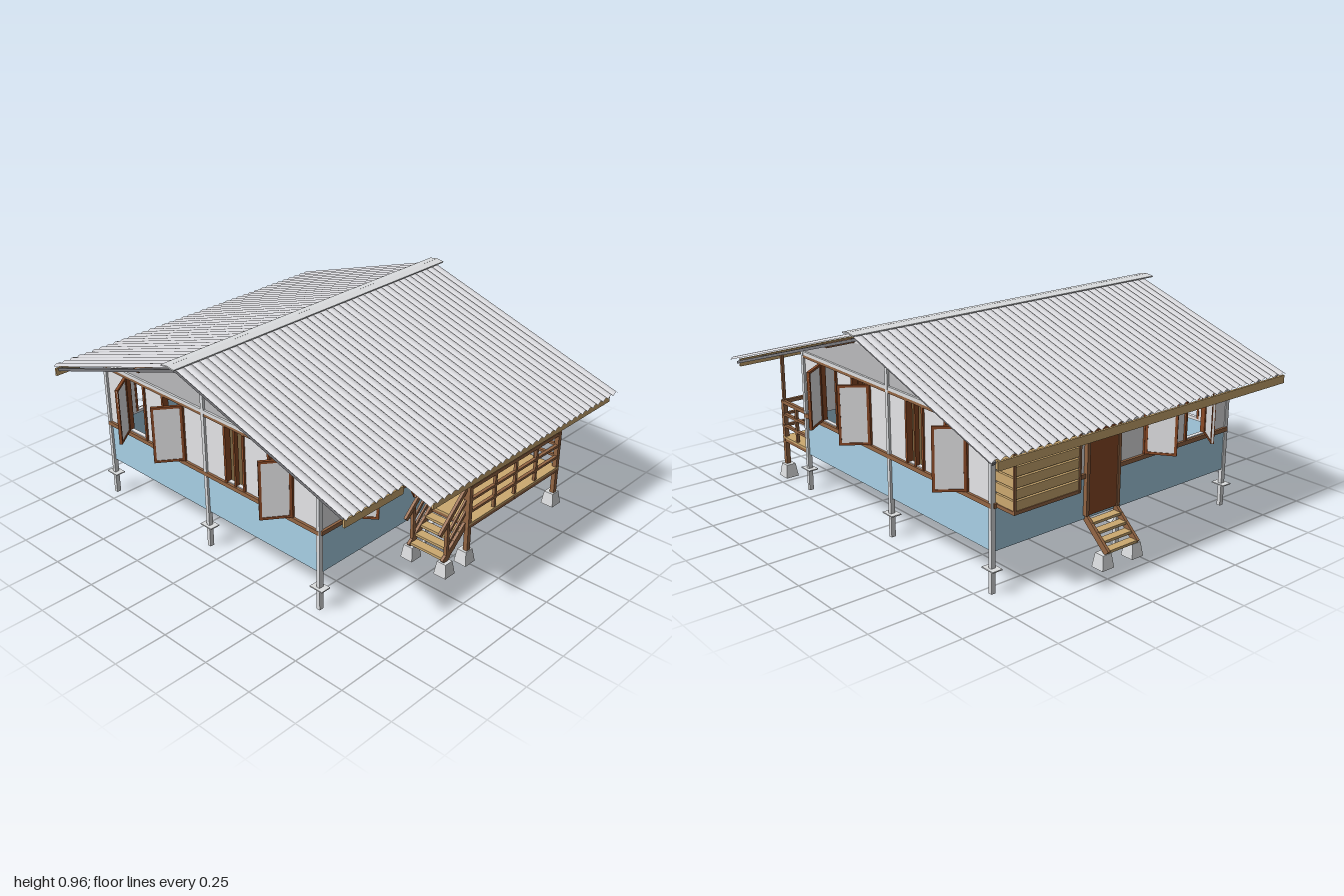
import * as THREE from 'three';

const paint = (name, color, side = THREE.FrontSide) => {
  const m = new THREE.MeshStandardMaterial({ color, side });
  m.name = name;
  return m;
};

export function createModel() {
  const wall = paint('off white boards', 0xe6e6e8), blue = paint('light blue boards', 0xa8d0e6);
  const brown = paint('brown timber', 0x946644), doorRed = paint('red brown joinery', 0x8b4a26);
  const tan = paint('tan timber', 0xcca970), roofing = paint('roof sheet grey', 0xd2d2d6, THREE.DoubleSide);
  const shade = paint('dark rafter grey', 0x78787c);
  const grey = paint('gable grey', 0xbababc), pale = paint('pale steel and concrete', 0xdcdee0);

  const house = new THREE.Group();
  house.name = 'house';
  const CX = -0.105, HX = 0.695, HZ = 0.69, SLOPE = 0.32;
  const roofY = (x) => 0.95 - SLOPE * Math.abs(x - CX);

  const add = (parent, name, geometry, material) => {
    const m = new THREE.Mesh(geometry, material);
    m.name = name;
    parent.add(m);
    return m;
  };
  // box given by its low and high corners
  const box = (parent, name, mat, x0, x1, y0, y1, z0, z1) => {
    const m = add(parent, name, new THREE.BoxGeometry(x1 - x0, y1 - y0, z1 - z0), mat);
    m.position.set((x0 + x1) / 2, (y0 + y1) / 2, (z0 + z1) / 2);
    return m;
  };
  // square bar between two points
  const bar = (name, mat, a, b, w, h = w) => {
    const p = new THREE.Vector3(...a), q = new THREE.Vector3(...b);
    const m = add(house, name, new THREE.BoxGeometry(w, h, p.distanceTo(q)), mat);
    m.position.copy(p).add(q).multiplyScalar(0.5);
    m.lookAt(q);
  };
  const footing = (x, z) => {
    const g = new THREE.CylinderGeometry(0.034, 0.047, 0.065, 4).rotateY(Math.PI / 4).toNonIndexed();
    g.computeVertexNormals();
    add(house, 'footing', g, pale).position.set(x, 0.0325, z);
  };

  // roof sheet from the ridge to xe: rounded ribs of 7 rows that meet in sharp valleys
  const roofSheet = (xe, z0, z1) => {
    const waves = Math.round((z1 - z0) / 0.0425), n = waves * 7 - 1, pitch = (z1 - z0) / waves;
    const g = new THREE.PlaneGeometry(1, 1, 1, n), p = g.attributes.position;
    for (let i = 0; i < p.count; i++) {
      const row = Math.floor(i / 2), t = xe > CX ? row : n - row, u = (t % 7) / 6;
      const x = i % 2 ? xe : CX;
      p.setXYZ(i, x, roofY(x) - 0.006 + 0.012 * Math.sin(u * Math.PI), z0 + pitch * (Math.floor(t / 7) + u));
    }
    g.computeVertexNormals();
    add(house, 'roofSheet', g, roofing);
  };
  roofSheet(-1, -0.86, 0.84);
  roofSheet(1, -0.86, 0.5);
  roofSheet(0.87, 0.5, 0.84);
  for (const s of [-1, 1]) {
    const cap = box(house, 'ridgeCap', pale, -0.021, 0.021, -0.003, 0.003, -0.875, 0.875);
    cap.position.set(CX + s * 0.02, 0.956, -0.005);
    cap.rotation.z = -s * 0.15;
  }

  // rafters and the two purlins
  for (const z of [-0.83, -0.69, -0.35, 0, 0.35, 0.69, 0.82])
    for (const xe of [-0.98, z > 0.5 ? 0.85 : 0.97])
      bar('rafter', shade, [CX, roofY(CX) - 0.026, z], [xe, roofY(xe) - 0.026, z], 0.018, 0.013);
  for (const x of [-0.38, 0.16])
    bar('purlin', brown, [x, roofY(x) - 0.028, -0.83], [x, roofY(x) - 0.028, 0.825], 0.03, 0.014);

  // eaves boards
  box(house, 'eavesBoard', tan, -0.992, -0.982, 0.615, 0.652, -0.82, 0.84);
  box(house, 'eavesBoard', tan, 0.972, 0.982, 0.555, 0.592, -0.82, 0.46);
  box(house, 'eavesBoard', tan, 0.852, 0.862, 0.595, 0.63, 0.5, 0.84);

  // window shutter on a hinge; dir is the side it reaches toward
  const shutter = (parent, hinge, dir) => {
    const g = new THREE.Group(), w = 0.138;
    g.name = 'shutter';
    g.position.set(hinge, 0, 0.005);
    g.rotation.y = -dir * 0.93;
    parent.add(g);
    const at = (name, mat, a, b, y0, y1, t) =>
      box(g, name, mat, Math.min(a * dir, b * dir), Math.max(a * dir, b * dir), y0, y1, -t, t);
    at('shutterPanel', wall, 0, w, 0.395, 0.665, 0.004);
    at('shutterFrame', doorRed, 0, 0.012, 0.392, 0.668, 0.007);
    at('shutterFrame', doorRed, w - 0.012, w, 0.392, 0.668, 0.007);
    at('shutterFrame', doorRed, 0, w, 0.392, 0.403, 0.007);
    at('shutterFrame', doorRed, 0, w, 0.657, 0.668, 0.007);
  };

  // one wall, local x along it and local z outward
  const points = (list) => list.map((p) => new THREE.Vector2(...p));
  const facade = (name, angle, half, out, openings, door) => {
    const g = new THREE.Group();
    g.name = name;
    g.rotation.y = angle;
    g.position.set(CX + Math.sin(angle) * out, 0, Math.cos(angle) * out);
    house.add(g);
    const shape = new THREE.Shape(points([[-half, 0.38], [half, 0.38], [half, 0.69], [-half, 0.69]]));
    for (const [a, b] of openings)
      shape.holes.push(new THREE.Path(points([[a, 0.395], [a, 0.665], [b, 0.665], [b, 0.395]])));
    const upper = new THREE.ExtrudeGeometry(shape, { depth: 0.02, bevelEnabled: false });
    add(g, 'upperWall', upper, wall).position.z = -0.02;
    box(g, 'lowerWall', blue, -half, half, 0.182, 0.38, -0.012, 0);
    box(g, 'sillRail', brown, -half, half, 0.37, 0.39, -0.01, 0.012);
    box(g, 'headRail', brown, -half, half, 0.667, 0.68, -0.01, 0.01);
    for (const [a, b, style] of openings) {
      for (const x of [a, b]) box(g, 'windowFrame', doorRed, x - 0.006, x + 0.006, 0.39, 0.67, -0.022, 0.009);
      if (style === 'left') shutter(g, a, 1);
      if (style === 'right') shutter(g, b, -1);
      if (style === 'mullion') box(g, 'mullion', doorRed, (a + b) / 2 - 0.005, (a + b) / 2 + 0.005, 0.39, 0.67, -0.015, 0.006);
    }
    if (door !== undefined) {
      box(g, 'door', doorRed, door, door + 0.18, 0.2, 0.67, -0.02, 0.015);
      for (const x of [door, door + 0.18]) box(g, 'doorFrame', brown, x - 0.008, x + 0.008, 0.2, 0.68, -0.02, 0.02);
    }
    return g;
  };
  const gableWindows = [[-0.545, -0.41, 'left'], [-0.275, -0.14, 'right'], [0.135, 0.25, 'mullion'], [0.405, 0.54, 'right']];
  for (const [name, angle] of [['frontWall', 0], ['backWall', Math.PI]]) {
    const g = facade(name, angle, HX, HZ, gableWindows);
    // gable in bands with a rail at its foot
    const band = (label, mat, y0, y1) => {
      const w = (y) => Math.min(HX, (0.932 - y) / SLOPE);
      const s = new THREE.Shape(points([[-w(y0), y0], [w(y0), y0], [w(y1), y1], [-w(y1), y1]]));
      add(g, label, new THREE.ExtrudeGeometry(s, { depth: 0.02, bevelEnabled: false }), mat).position.z = -0.02;
    };
    band('gableFoot', grey, 0.69, 0.709);
    band('lowerGable', grey, 0.709, 0.83);
    band('upperGable', wall, 0.83, 0.931);
    box(g, 'gableRail', pale, -HX, HX, 0.68, 0.697, -0.01, 0.01);
  }
  facade('rightWall', Math.PI / 2, HZ, HX,
    [[-0.545, -0.41, 'left'], [-0.285, -0.15, 'right'], [0.26, 0.39, 'open'], [0.402, 0.535, 'right']], 0.01);
  facade('leftWall', -Math.PI / 2, HZ, HX, [[0.15, 0.285, 'left'], [0.41, 0.545, 'right']], -0.195);

  // crossing inner partitions
  box(house, 'innerPartition', tan, CX - 0.675, CX + 0.675, 0.205, 0.69, -0.01, 0.01);
  box(house, 'innerPartition', tan, CX - 0.01, CX + 0.01, 0.205, 0.69, -0.67, 0.67);

  // boarded bay on the left wall
  box(house, 'bayCore', tan, -0.9, -0.8, 0.385, 0.67, -0.665, -0.345);
  for (let i = 0; i < 6; i++) {
    const y = 0.388 + i * 0.047;
    box(house, 'bayBoard', tan, -0.912, -0.898, y, y + 0.04, -0.675, -0.335);
    for (const z of [-0.67, -0.34]) box(house, 'bayEndBoard', tan, -0.912, -0.8, y, y + 0.04, z - 0.006, z + 0.006);
  }
  box(house, 'bayBase', brown, -0.915, -0.8, 0.373, 0.388, -0.68, -0.33);
  for (const z of [-0.675, -0.335]) box(house, 'bayPost', brown, -0.917, -0.908, 0.375, 0.685, z - 0.005, z + 0.005);

  // floor, joists, beams and posts
  box(house, 'floor', tan, CX - 0.683, CX + 0.683, 0.194, 0.205, -0.678, 0.678);
  for (let i = 0; i < 13; i++) {
    const z = -0.64 + i * 0.1067;
    box(house, 'joist', tan, CX - 0.683, CX + 0.683, 0.183, 0.195, z - 0.008, z + 0.008);
  }
  box(house, 'beam', pale, CX - HX, CX + HX, 0.175, 0.19, -0.01, 0.01);
  box(house, 'beam', pale, CX - 0.01, CX + 0.01, 0.175, 0.19, -HZ, HZ);
  for (const d of [-0.345, 0.345]) {
    box(house, 'beamStub', pale, CX + d - 0.004, CX + d + 0.004, 0.148, 0.18, -0.004, 0.004);
    box(house, 'beamStub', pale, CX - 0.004, CX + 0.004, 0.148, 0.18, d - 0.004, d + 0.004);
  }
  for (const x of [CX - HX + 0.005, CX, CX + HX - 0.005])
    for (const z of [-HZ, 0, HZ]) {
      const top = z === 0 ? 0.19 : roofY(x) - 0.025;
      box(house, 'post', pale, x - 0.009, x + 0.009, 0, top, z - 0.011, z + 0.011);
      box(house, 'postPlate', pale, x - 0.035, x + 0.035, 0.107, 0.112, z - 0.025, z + 0.025);
    }

  // veranda deck and railing
  box(house, 'verandaDeck', tan, 0.595, 0.83, 0.197, 0.207, -0.69, 0.005);
  for (const x of [0.605, 0.82]) box(house, 'deckBeam', brown, x - 0.009, x + 0.009, 0.18, 0.2, -0.69, 0.005);
  for (const z of [-0.68, -0.34, -0.005]) box(house, 'deckBeam', brown, 0.595, 0.83, 0.18, 0.197, z - 0.008, z + 0.008);
  for (const y of [0.262, 0.322, 0.385]) {
    const t = y > 0.35 ? 0.009 : 0.006;
    box(house, 'sideRail', brown, 0.812, 0.828, y - t, y + t, -0.69, 0.005);
    box(house, 'backRail', brown, 0.595, 0.83, y - t, y + t, -0.688, -0.672);
  }
  for (const z of [-0.185, -0.34, -0.5]) box(house, 'railPost', brown, 0.813, 0.827, 0.19, 0.39, z - 0.007, z + 0.007);
  box(house, 'railPost', brown, 0.695, 0.709, 0.19, 0.39, -0.687, -0.673);
  for (const z of [-0.678, -0.002]) {
    box(house, 'verandaPost', brown, 0.807, 0.829, 0.05, 0.39, z - 0.011, z + 0.011);
    box(house, 'verandaPostTop', brown, 0.81, 0.824, 0.39, roofY(0.82) - 0.02, z - 0.007, z + 0.007);
    footing(0.81, z);
  }

  // veranda stair toward the front
  for (const x of [0.615, 0.805]) {
    bar('stairStringer', brown, [x, 0.195, 0], [x, 0.065, 0.15], 0.014, 0.03);
    bar('stairHandrail', brown, [x, 0.385, 0], [x, 0.215, 0.18], 0.014, 0.02);
    bar('stairMidRail', brown, [x, 0.32, 0], [x, 0.19, 0.13], 0.01, 0.013);
    bar('stairMidRail', brown, [x, 0.262, 0], [x, 0.135, 0.13], 0.01, 0.013);
    box(house, 'newelPost', brown, x - 0.008, x + 0.008, 0.05, 0.255, 0.12, 0.136);
    box(house, 'newelPost', brown, x - 0.008, x + 0.008, 0.19, 0.39, -0.008, 0.008);
    footing(x, 0.135);
  }
  for (let i = 0; i < 4; i++) {
    const y = 0.17 - i * 0.031, z = 0.025 + i * 0.034;
    box(house, 'stairTread', tan, 0.61, 0.81, y - 0.006, y + 0.006, z - 0.022, z + 0.022);
  }

  // left door stair
  for (const z of [-0.188, -0.015]) {
    bar('leftStringer', brown, [-0.795, 0.195, z], [-0.935, 0.07, z], 0.014, 0.03);
    footing(-0.91, z);
  }
  for (let i = 0; i < 4; i++) {
    const y = 0.17 - i * 0.031, x = -0.822 - i * 0.033;
    box(house, 'leftTread', tan, x - 0.02, x + 0.02, y - 0.006, y + 0.006, -0.188, -0.015);
  }
  return house;
}
